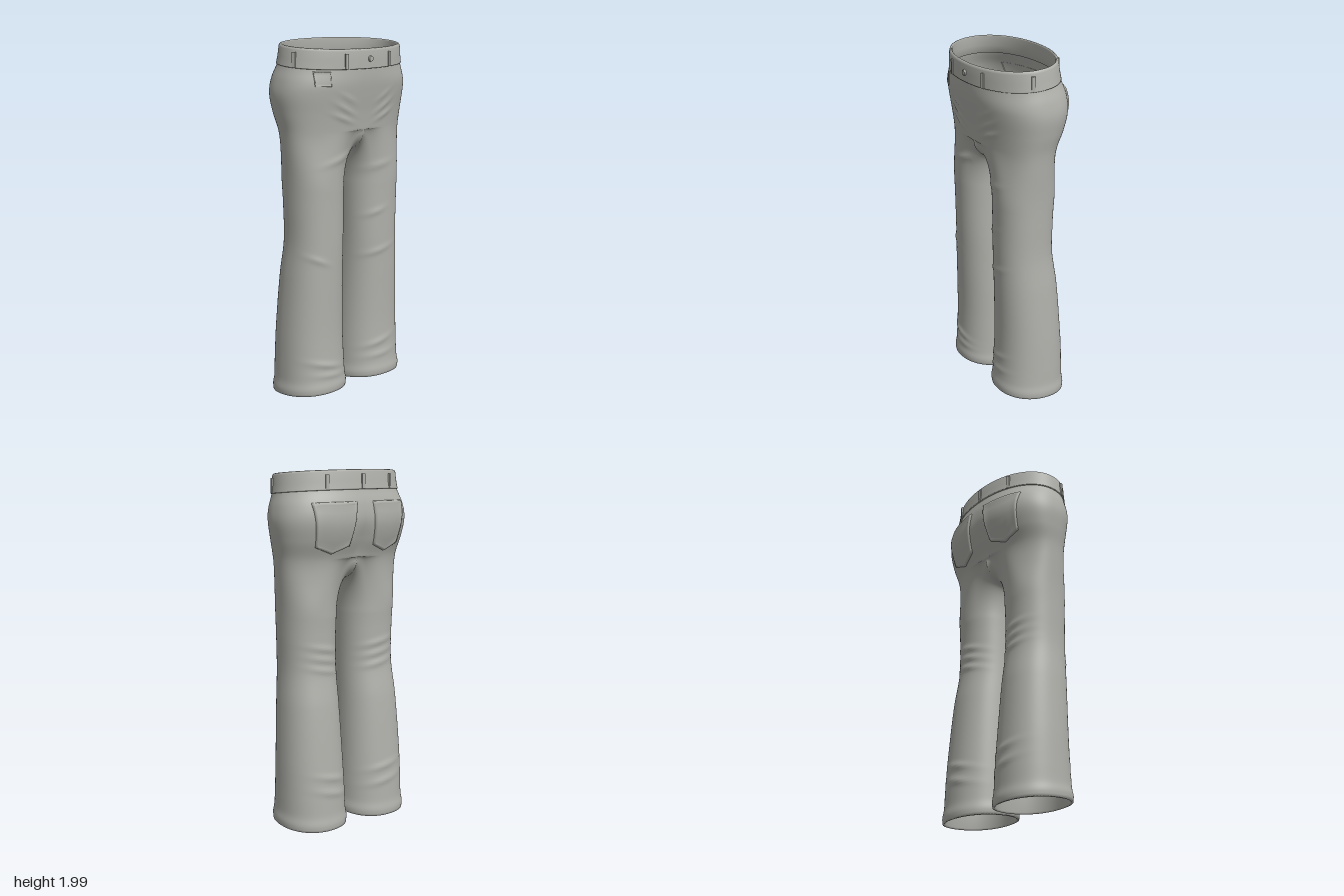
import * as THREE from 'three';
import { mergeVertices } from 'three/addons/utils/BufferGeometryUtils.js';

const fabric = new THREE.MeshStandardMaterial({ color: 0xb0b0ab, side: THREE.DoubleSide });
fabric.name = 'grey denim';

// Silhouette by height: y, inner leg x, outer x, front z, back z
const PROFILE = [
  [0.00, 0.015, 0.415, 0.182, -0.222], [0.10, 0.018, 0.410, 0.178, -0.217],
  [0.20, 0.022, 0.407, 0.172, -0.213], [0.40, 0.031, 0.400, 0.167, -0.200],
  [0.70, 0.042, 0.383, 0.172, -0.174], [0.90, 0.046, 0.368, 0.176, -0.146],
  [1.10, 0.046, 0.370, 0.178, -0.146], [1.25, 0.043, 0.375, 0.182, -0.155],
  [1.40, 0.040, 0.386, 0.190, -0.166], [1.52, 0.040, 0.397, 0.200, -0.186],
  [1.62, 0.040, 0.416, 0.213, -0.225], [1.72, 0.040, 0.428, 0.230, -0.250],
  [1.80, 0.040, 0.418, 0.240, -0.245], [1.88, 0.040, 0.396, 0.243, -0.224],
  [1.99, 0.040, 0.382, 0.242, -0.211],
];
const SPLIT = 1.2, JOIN = 1.52, CROTCH = 1.385;
const { lerp, smoothstep } = THREE.MathUtils;
const sgnPow = (v, e) => Math.sign(v) * Math.pow(Math.abs(v), e);

// Smooth lookup in the silhouette table
function section(y) {
  const last = PROFILE.length - 1;
  let k = 0;
  while (k < last - 1 && y > PROFILE[k + 1][0]) k++;
  const p1 = PROFILE[k], p2 = PROFILE[k + 1];
  const p0 = PROFILE[Math.max(0, k - 1)], p3 = PROFILE[Math.min(last, k + 2)];
  const h = p2[0] - p1[0], t = THREE.MathUtils.clamp((y - p1[0]) / h, 0, 1);
  return [1, 2, 3, 4].map((c) => {
    const m1 = (p2[c] - p0[c]) / (p2[0] - p0[0]) * h, m2 = (p3[c] - p1[c]) / (p3[0] - p1[0]) * h;
    const t2 = t * t, t3 = t2 * t;
    return (2 * t3 - 3 * t2 + 1) * p1[c] + (t3 - 2 * t2 + t) * m1 + (3 * t2 - 2 * t3) * p2[c] + (t3 - t2) * m2;
  });
}
const hipPower = (y) => 2.4 - 0.3 * smoothstep(y, 1.75, 1.9);

function legPoint(y, a, off = 0) {
  const [inn, out, f, b] = section(y), e = 2 / 2.2;
  return [(inn + out) / 2 + ((out - inn) / 2 + off) * sgnPow(Math.cos(a), e), y,
    (f + b) / 2 + ((f - b) / 2 + off) * sgnPow(Math.sin(a), e)];
}
function hipPoint(y, a, off = 0) {
  const [, out, f, b] = section(y), e = 2 / hipPower(y);
  return [(out + off) * sgnPow(Math.cos(a), e), y, (f + b) / 2 + ((f - b) / 2 + off) * sgnPow(Math.sin(a), e)];
}

// Cloth folds: x, y, front/back sign, length, thickness, slope, height
const FOLDS = [
  [0.14, 1.64, 1, 0.06, 0.014, 0.55, 0.006], [-0.14, 1.64, 1, 0.06, 0.014, -0.55, 0.006],
  [0.15, 1.59, 1, 0.06, 0.014, 0.4, 0.006], [-0.15, 1.59, 1, 0.06, 0.014, -0.4, 0.006],
  [0.13, 1.70, 1, 0.05, 0.014, 0.6, 0.004], [-0.13, 1.70, 1, 0.05, 0.014, -0.6, 0.004],
  [0.14, 1.30, 1, 0.08, 0.018, 0.2, 0.006], [-0.15, 1.37, 1, 0.10, 0.018, 0.25, 0.007],
  [0.13, 1.03, 1, 0.06, 0.018, 0.3, 0.006], [0.15, 0.80, 1, 0.09, 0.018, 0.25, 0.006],
  [-0.30, 0.82, 1, 0.06, 0.018, -0.4, 0.006], [0.16, 0.24, 1, 0.09, 0.02, 0.25, 0.007],
  [-0.25, 0.20, 1, 0.10, 0.02, -0.25, 0.008], [0.17, 0.16, 1, 0.10, 0.02, 0.1, 0.006],
  [-0.22, 0.13, 1, 0.10, 0.018, -0.1, 0.006],
  ...[-1, 1].flatMap((s) => [0.90, 0.96, 1.02, 0.30, 0.22].map((y) => [s * 0.19, y, -1, 0.10, 0.016, s * 0.2, 0.008])),
];
// Folds, seat cleft, tilted waist and tilted hems
function deform([x, y, z]) {
  let dz = 0;
  for (const [fx, fy, side, len, th, slope, h] of FOLDS) {
    const d = (y - fy - slope * (x - fx)) / th, l = (x - fx) / len;
    dz += side * h * Math.exp(-d * d - l * l) * smoothstep(z * side, 0, 0.12);
  }
  dz += 0.016 * Math.exp(-((x / 0.04) ** 2) - ((y - 1.6) / 0.12) ** 2) * smoothstep(-z, 0.05, 0.15);
  const tilt = -0.08 * smoothstep(y, 1.7, 1.88) + 0.088 * (1 - smoothstep(y, 0.03, 0.35));
  return [x, y + tilt * z, z + dz];
}

// Surface from rows of points; keep(row, col) chooses the cells
function loft(rows, closed, keep = () => true) {
  const n = rows[0].length, index = [];
  for (let j = 0; j < rows.length - 1; j++) {
    for (let i = 0; i < (closed ? n : n - 1); i++) {
      if (!keep(j, i)) continue;
      const a = j * n + i, b = j * n + (i + 1) % n, c = a + n, d = b + n;
      index.push(a, c, b, b, c, d);
    }
  }
  const g = new THREE.BufferGeometry();
  g.setAttribute('position', new THREE.Float32BufferAttribute(rows.flat(2), 3));
  g.setIndex(index);
  return g;
}
function mesh(g, name) {
  const m = new THREE.Mesh(g, fabric);
  m.name = name;
  return m;
}

// Both legs and the hips in one skin: closed leg rings open along the crotch curve
function trouserBody() {
  const OUT = 56, INN = 24, N = OUT + INN, CORNER = 125 * Math.PI / 180;
  const cols = Array.from({ length: N }, (_, i) => {
    if (i <= OUT) {
      const u = i / OUT;
      return { outer: true, a: lerp(-CORNER, CORNER, u), hip: lerp(-Math.PI / 2, Math.PI / 2, u),
        w: 1 - smoothstep(Math.min(u, 1 - u), 0, 0.25) };
    }
    const u = (i - OUT) / INN;
    return { outer: false, a: lerp(CORNER, 2 * Math.PI - CORNER, u), t: 1 - 2 * u, w: 1 };
  });
  const [, , jf, jb] = section(JOIN);
  const crotch = (t) => [0, JOIN - (JOIN - CROTCH) * Math.cos(t * Math.PI / 2),
    (jf + jb) / 2 + (jf - jb) / 2 * Math.sin(t * Math.PI / 2)];
  const rows = [];
  // turned-in hem, then the leg
  for (const [y, off] of [[0.3, -0.012], [0.1, -0.012], [0.03, -0.012], [0.021, -0.006]])
    rows.push(cols.map((c) => legPoint(y, c.a, off)));
  for (let k = 0; k <= 94; k++) {
    const y = lerp(0.024, SPLIT, k / 94), cuff = 0.006 * Math.exp(-(((y - 0.055) / 0.03) ** 2));
    rows.push(cols.map((c) => legPoint(y, c.a, cuff)));
  }
  // leg rings arch over into the hips
  for (let k = 1; k <= 26; k++) {
    const s = k / 26, y = lerp(SPLIT, JOIN, s), q = s * Math.PI / 2;
    rows.push(cols.map((c) => {
      const from = legPoint(lerp(y, SPLIT, c.w), c.a);
      const to = c.outer ? hipPoint(lerp(y, JOIN, c.w), c.hip) : crotch(c.t);
      const m = lerp(smoothstep(s, 0, 1), 1 - Math.cos(q), c.w);
      return [k === 26 && (!c.outer || Math.abs(c.hip) > 1.57) ? 0 : lerp(from[0], to[0], m),
        lerp(y, lerp(SPLIT, c.outer ? JOIN : to[1], Math.sin(q)), c.w), lerp(from[2], to[2], m)];
    }));
  }
  const open = rows.length - 1;
  for (let k = 1; k <= 30; k++) {
    const y = lerp(JOIN, 1.89, k / 30);
    rows.push(cols.map((c) => {
      if (!c.outer) return crotch(c.t);
      const p = hipPoint(y, c.hip);
      return Math.abs(c.hip) > 1.57 ? [0, p[1], p[2]] : p;
    }));
  }
  const half = loft(rows, true, (j, i) => j < open || i < OUT);
  const pos = Array.from(half.attributes.position.array), idx = Array.from(half.index.array);
  const count = pos.length / 3;
  const g = new THREE.BufferGeometry();
  g.setAttribute('position', new THREE.Float32BufferAttribute(
    pos.concat(pos.map((v, i) => (i % 3 === 0 ? -v : v))), 3));
  const flipped = idx.map((_, i) => idx[i - i % 3 + 2 - i % 3] + count);
  g.setIndex(idx.concat(flipped));
  const skin = mergeVertices(g, 1e-5), p = skin.attributes.position;
  for (let i = 0; i < p.count; i++) p.setXYZ(i, ...deform([p.getX(i), p.getY(i), p.getZ(i)]));
  skin.computeVertexNormals();
  return skin;
}

function waistband() {
  const profile = [[0, 1.872], [0.006, 1.874], [0.006, 1.878], [0.006, 1.92], [0.006, 1.966], [0.002, 1.977],
    [-0.005, 1.98], [-0.011, 1.973], [-0.012, 1.92], [-0.012, 1.875], [0, 1.872]];
  const g = loft(profile.map(([off, y]) =>
    Array.from({ length: 96 }, (_, i) => deform(hipPoint(y, i / 96 * Math.PI * 2, off)))), true);
  g.computeVertexNormals();
  return g;
}

// Thin patch that follows the hips; edges sink into the cloth
function pocket(cx, top, bottom, halfTop, halfBottom, point, side, lift) {
  const steps = [-1, -0.97, -0.88, -0.84, -0.6, -0.3, 0, 0.3, 0.6, 0.84, 0.88, 0.97, 1];
  const rows = steps.map((v) => steps.map((u) => {
    const t = (v + 1) / 2, y = lerp(bottom - point * (1 - Math.abs(u)), top, t);
    const x = cx + u * lerp(halfBottom, halfTop, t);
    const [, out, f, b] = section(y), n = hipPower(y), r = Math.abs(x / out);
    const z = (f + b) / 2 + side * (f - b) / 2 * Math.pow(1 - Math.pow(r, n), 1 / n);
    const edge = Math.max(Math.abs(u), Math.abs(v));
    const h = edge === 1 ? -0.004 : edge > 0.86 ? lift : lift * 0.6;
    const nrm = new THREE.Vector2(x / (out * out), side / ((f - b) / 2) * 0.8).normalize();
    return deform([x + nrm.x * h, y, z + nrm.y * h]);
  }));
  if (side < 0) rows.forEach((r) => r.reverse());
  rows.forEach((r) => r.reverse());
  const g = loft(rows, false);
  g.computeVertexNormals();
  return g;
}

export function createModel() {
  const model = new THREE.Group();
  model.name = 'trousers';
  model.add(mesh(trouserBody(), 'legsAndHips'), mesh(waistband(), 'waistband'));

  for (const s of [-1, 1])
    model.add(mesh(pocket(s * 0.185, 1.815, 1.585, 0.13, 0.1, 0.04, -1, 0.009), s > 0 ? 'leftBackPocket' : 'rightBackPocket'));
  model.add(mesh(pocket(-0.285, 1.862, 1.775, 0.042, 0.042, 0, 1, 0.005), 'coinPocket'));

  // Belt loops by angle round the band
  const angles = [68, 14, -58, -90, -122, 166, 112];
  for (const deg of angles) {
    const a = deg * Math.PI / 180;
    const lo = new THREE.Vector3(...deform(hipPoint(1.875, a, 0.008)));
    const hi = new THREE.Vector3(...deform(hipPoint(1.955, a, 0.008)));
    const p1 = hipPoint(1.92, a - 0.03), p2 = hipPoint(1.92, a + 0.03);
    const loop = mesh(new THREE.BoxGeometry(0.02, lo.distanceTo(hi), 0.01), 'beltLoop');
    loop.position.copy(lo).add(hi).multiplyScalar(0.5);
    loop.rotation.y = Math.atan2(p2[2] - p1[2], -(p2[0] - p1[0]));
    model.add(loop);
  }

  // Front button
  const button = mesh(new THREE.CylinderGeometry(0.014, 0.018, 0.014, 20), 'button');
  const at = deform(hipPoint(1.925, Math.PI / 2, 0.008));
  button.position.set(...at);
  button.rotation.x = Math.PI / 2;
  model.add(button);
  return model;
}
